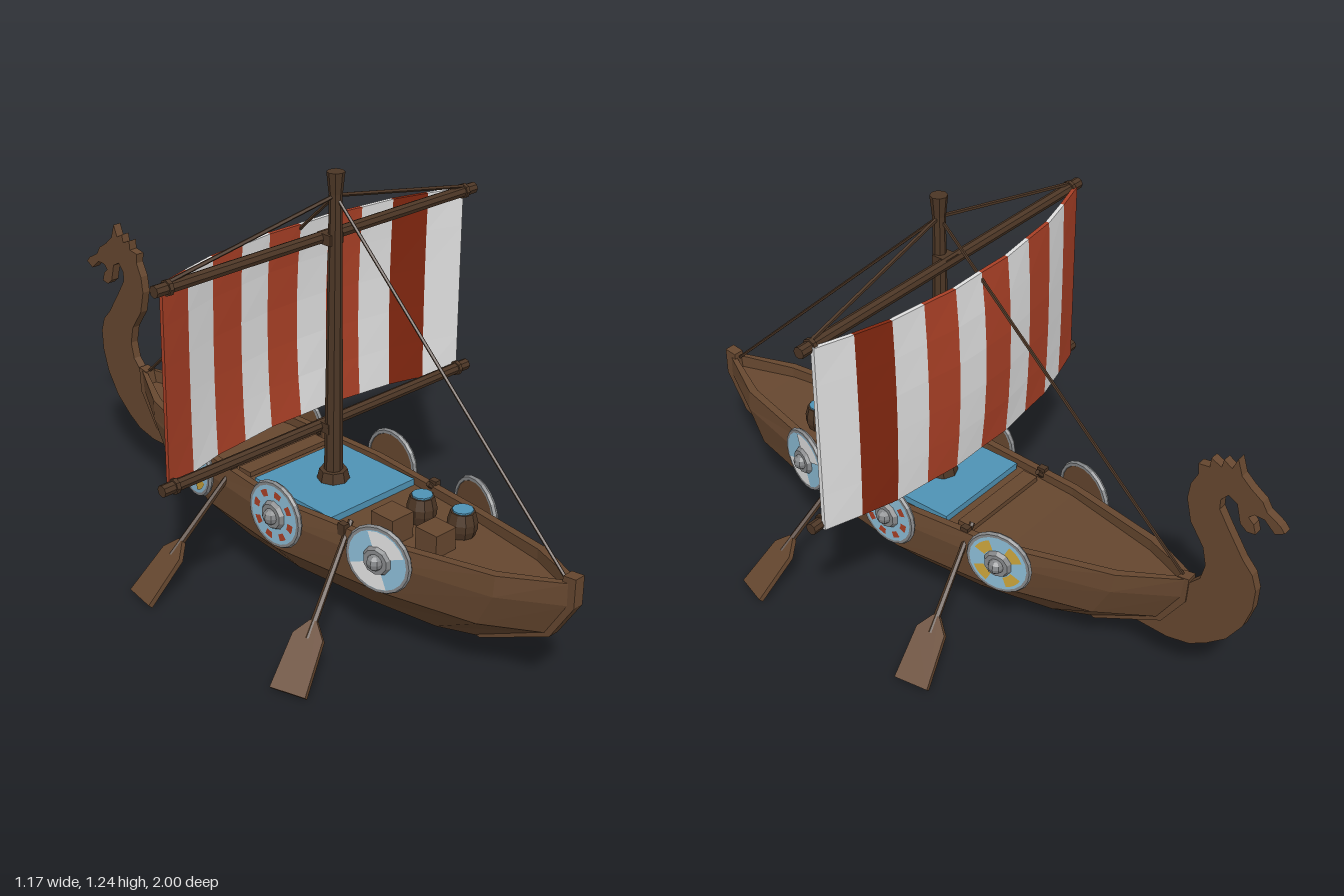
import * as THREE from 'three';

const mat = (name, color, extra = {}) => Object.assign(new THREE.MeshStandardMaterial({ color, flatShading: true, ...extra }), { name });
const M = {
  wood: mat('wood', 0x66472f),
  dark: mat('darkWood', 0x4c3625),
  white: mat('sailWhite', 0xe0e0e0),
  red: mat('sailRed', 0xaa4026),
  darkRed: mat('deepRed', 0x80260f),
  blue: mat('clothBlue', 0x4f93b5),
  pale: mat('paleBlue', 0x8cbcd6),
  iron: mat('iron', 0x858789),
  gold: mat('yellow', 0xcca53c),
};
const V = (x, y, z) => new THREE.Vector3(x, y, z);

function add(parent, name, geo, material, x = 0, y = 0, z = 0) {
  const m = new THREE.Mesh(geo, material);
  m.name = name;
  m.position.set(x, y, z);
  parent.add(m);
  return m;
}

// Straight round bar between two points
function bar(parent, name, a, b, r0, r1 = r0, material = M.dark, sides = 8) {
  const d = b.clone().sub(a);
  const m = add(parent, name, new THREE.CylinderGeometry(r1, r0, d.length(), sides), material);
  m.position.copy(a).add(b).multiplyScalar(0.5);
  m.quaternion.setFromUnitVectors(V(0, 1, 0), d.normalize());
  return m;
}

// Flat board from [z, y] points, with its thickness along x
function board(parent, name, pts, thick, material) {
  const shape = new THREE.Shape(pts.map(([z, y]) => new THREE.Vector2(-z, y)));
  const geo = new THREE.ExtrudeGeometry(shape, { depth: thick, bevelEnabled: false });
  geo.translate(0, 0, -thick / 2).rotateY(Math.PI / 2);
  return add(parent, name, geo, material);
}

// Hull: closed loops lofted from stern to bow, with rails and sunken deck
function hullGeometry() {
  const stations = [[0, 0.06], [0.1, 0.49], [0.28, 0.79], [0.51, 1], [0.71, 0.87], [0.9, 0.49], [1, 0.06]];
  // stern z, bow z, half width, inset, y amidships, y at the ends
  const rows = [
    [0.70, -0.45, 0.125, 0, 0.09, 0.09],
    [0.92, -0.66, 0.215, 0, 0.19, 0.21],
    [0.985, -0.73, 0.22, 0, 0.285, 0.32],
    [0.985, -0.74, 0.207, 0, 0.335, 0.385],
    [0.97, -0.73, 0.207, 0.022, 0.335, 0.385],
    [0.97, -0.73, 0.207, 0.022, 0.312, 0.345],
  ];
  const pos = [], idx = [], n = rows.length * 2;
  for (const [t, f] of stations) {
    const e = (2 * t - 1) ** 2;
    const half = rows.map(([z0, z1, w, inset, y0, y1]) =>
      [Math.max(w * f - inset, 0.004), y0 + (y1 - y0) * e, z0 + (z1 - z0) * t]);
    const ring = [...half, ...half.slice().reverse().map(([x, y, z]) => [-x, y, z])];
    pos.push(...ring.flat());
  }
  for (let k = 0; k < stations.length - 1; k++) {
    for (let i = 0; i < n; i++) {
      const a = k * n + i, b = k * n + (i + 1) % n, c = b + n, d = a + n;
      idx.push(a, c, b, a, d, c);
    }
  }
  const geo = new THREE.BufferGeometry();
  geo.setAttribute('position', new THREE.Float32BufferAttribute(pos, 3));
  geo.setIndex(idx);
  geo.computeVertexNormals();
  return geo;
}

// Round shield facing +z; kind picks the painted pattern
function makeShield(kind) {
  const g = new THREE.Group();
  g.name = 'shield';
  add(g, 'shieldBoard', new THREE.CylinderGeometry(0.093, 0.093, 0.012, 20).rotateX(Math.PI / 2), M.wood);
  add(g, 'shieldRim', new THREE.TorusGeometry(0.092, 0.009, 6, 20), M.iron);
  add(g, 'shieldFace', new THREE.CircleGeometry(0.088, 20), M.pale, 0, 0, 0.008);
  const [count, r0, r1, span, color] = [
    [2, 0.04, 0.086, Math.PI / 2, M.white],
    [8, 0.056, 0.076, 0.36, M.red],
    [4, 0.045, 0.078, 0.75, M.gold],
  ][kind];
  for (let i = 0; i < count; i++) {
    const start = (i / count) * Math.PI * 2 + 0.35;
    add(g, 'shieldPaint', new THREE.RingGeometry(r0, r1, 5, 1, start, span), color, 0, 0, 0.010);
  }
  add(g, 'shieldBossPlate', new THREE.CylinderGeometry(0.036, 0.046, 0.016, 10).rotateX(Math.PI / 2), M.iron, 0, 0, 0.012);
  add(g, 'shieldBoss', new THREE.SphereGeometry(0.024, 8, 6), M.iron, 0, 0, 0.018);
  return g;
}

// Oar built along -y, then aimed from the rail to the water
function makeOar(from, to) {
  const g = new THREE.Group();
  g.name = 'oar';
  const d = to.clone().sub(from), len = d.length();
  add(g, 'oarShaft', new THREE.CylinderGeometry(0.008, 0.011, len - 0.15, 6), M.dark, 0, -(len - 0.15) / 2, 0);
  const s = new THREE.Shape([[-0.01, 0.2], [0.01, 0.2], [0.045, 0.155], [0.053, 0], [-0.053, 0], [-0.045, 0.155]]
    .map(([x, y]) => new THREE.Vector2(x, y)));
  add(g, 'oarBlade', new THREE.ExtrudeGeometry(s, { depth: 0.016, bevelEnabled: false }), M.wood, 0, -len, -0.008);
  const up = d.normalize().negate();
  const side = up.clone().cross(V(0, 1, 0)).normalize();
  g.quaternion.setFromRotationMatrix(new THREE.Matrix4().makeBasis(side, up, side.clone().cross(up)));
  g.position.copy(from);
  return g;
}

export function createModel() {
  const ship = new THREE.Group();
  ship.name = 'longship';

  add(ship, 'hull', hullGeometry(), M.wood);
  board(ship, 'sternPost', [[1, 0.405], [1, 0.32], [0.93, 0.205], [0.70, 0.09], [0.67, 0.1], [0.88, 0.22], [0.955, 0.32], [0.96, 0.4]], 0.034, M.wood);
  board(ship, 'bowPost', [[-0.45, 0.09], [-0.67, 0.205], [-0.74, 0.31], [-0.745, 0.39], [-0.71, 0.385], [-0.7, 0.32], [-0.63, 0.22], [-0.42, 0.1]], 0.034, M.wood);

  // Dragon figurehead with curved neck
  board(ship, 'figurehead', [
    [-0.57, 0.16], [-0.69, 0.155], [-0.76, 0.17], [-0.81, 0.2], [-0.87, 0.25], [-0.915, 0.32], [-0.937, 0.39], [-0.94, 0.455],
    [-0.925, 0.5], [-0.893, 0.535], [-0.84, 0.615], [-0.812, 0.66], [-0.812, 0.69], [-0.833, 0.715], [-0.86, 0.7],
    [-0.874, 0.645], [-0.895, 0.628], [-0.92, 0.632], [-0.912, 0.66], [-0.895, 0.675], [-0.91, 0.69], [-0.94, 0.69],
    [-0.973, 0.66], [-1, 0.675], [-0.985, 0.692], [-0.945, 0.715], [-0.93, 0.74], [-0.893, 0.765], [-0.865, 0.79], [-0.85, 0.836],
    [-0.835, 0.8], [-0.81, 0.815], [-0.805, 0.79], [-0.774, 0.804], [-0.772, 0.775], [-0.738, 0.77], [-0.742, 0.74],
    [-0.722, 0.7], [-0.715, 0.65], [-0.731, 0.58], [-0.775, 0.515], [-0.787, 0.46], [-0.775, 0.41], [-0.742, 0.375],
    [-0.7, 0.34], [-0.6, 0.22],
  ], 0.026, M.wood);

  // Deck cloth, bench and cargo
  add(ship, 'deckCloth', new THREE.BoxGeometry(0.325, 0.02, 0.31), M.blue, 0, 0.325, 0.125);
  add(ship, 'bench', new THREE.BoxGeometry(0.3, 0.015, 0.05), M.wood, 0, 0.325, -0.09);
  for (const [x, z, s] of [[-0.09, 0.44, 0.08], [-0.06, 0.57, 0.075]]) {
    add(ship, 'crate', new THREE.BoxGeometry(s, s, s), M.wood, x, 0.315 + s / 2, z);
  }
  const barrel = [[0, 0], [0.032, 0], [0.042, 0.03], [0.042, 0.05], [0.034, 0.08], [0, 0.08]].map(([x, y]) => new THREE.Vector2(x, y));
  for (const [x, z] of [[0.03, 0.435], [0.05, 0.565]]) {
    add(ship, 'barrel', new THREE.LatheGeometry(barrel, 10), M.dark, x, 0.315, z);
    add(ship, 'barrelLid', new THREE.CylinderGeometry(0.029, 0.029, 0.006, 10), M.blue, x, 0.397, z);
  }

  // Mast and yards
  const mz = 0.12, yz = 0.085;
  bar(ship, 'mast', V(0, 0.32, mz), V(0, 1.19, mz), 0.027, 0.018);
  bar(ship, 'mastCap', V(0, 1.18, mz), V(0, 1.24, mz), 0.019, 0.025);
  bar(ship, 'mastCollar', V(0, 0.32, mz), V(0, 0.365, mz), 0.05, 0.04);
  for (const y of [0.495, 1.052]) {
    bar(ship, 'yard', V(-0.583, y, yz), V(0.583, y, yz), 0.017);
    for (const x of [-0.54, 0.54]) bar(ship, 'yardRing', V(x - 0.006, y, yz), V(x + 0.006, y, yz), 0.022);
    add(ship, 'yardBinding', new THREE.BoxGeometry(0.05, 0.03, 0.05), M.dark, 0, y, 0.1);
  }

  // Sail: ten vertical stripes, bellied towards the bow
  const plan = [[0, -0.038], [0.11, -0.036], [0.22, -0.018], [0.33, -0.002], [0.44, 0.032], [0.55, 0.07]];
  const sail = new THREE.Group();
  sail.name = 'sail';
  ship.add(sail);
  for (let i = 0; i < 10; i++) {
    const geo = new THREE.BoxGeometry(0.11, 0.575, 0.012, 1, 5, 1);
    geo.translate(-0.495 + i * 0.11, 0.77, 0);
    const p = geo.attributes.position;
    for (let k = 0; k < p.count; k++) {
      const a = Math.abs(p.getX(k)), v = (p.getY(k) - 0.77) / 0.2875;
      const base = plan[Math.min(5, Math.round(a / 0.11))][1];
      p.setZ(k, p.getZ(k) + base + 0.018 * v * v * (1 - a / 0.55));
    }
    geo.computeVertexNormals();
    add(sail, 'sailStripe', geo, i % 2 ? M.white : i === 8 ? M.darkRed : M.red);
  }

  // Rigging
  const top = V(0, 1.175, mz);
  bar(ship, 'forestay', V(0, 0.375, -0.725), top, 0.005, 0.005, M.dark, 5);
  bar(ship, 'backstay', V(0, 0.385, 0.955), top, 0.005, 0.005, M.dark, 5);

  // Paired parts
  for (const s of [1, -1]) {
    bar(ship, 'yardRope', V(s * 0.545, 1.065, yz), top, 0.006, 0.006, M.dark, 5);
    [[0.19, 0.49, 0.24], [0.228, 0.13, 0.03], [0.2, -0.25, -0.2]].forEach(([x, z, yaw], kind) => {
      const shield = makeShield(kind);
      shield.position.set(s * x, 0.31, z);
      shield.rotation.y = s * (Math.PI / 2 - yaw);
      ship.add(shield);
    });
    for (const [z0, z1] of [[0.345, 0.455], [-0.115, -0.165]]) {
      ship.add(makeOar(V(s * 0.15, 0.35, z0), V(s * 0.48, 0.008, z1)));
      add(ship, 'oarlock', new THREE.BoxGeometry(0.02, 0.035, 0.025), M.dark, s * 0.178, 0.335, z0);
    }
  }
  return ship;
}
